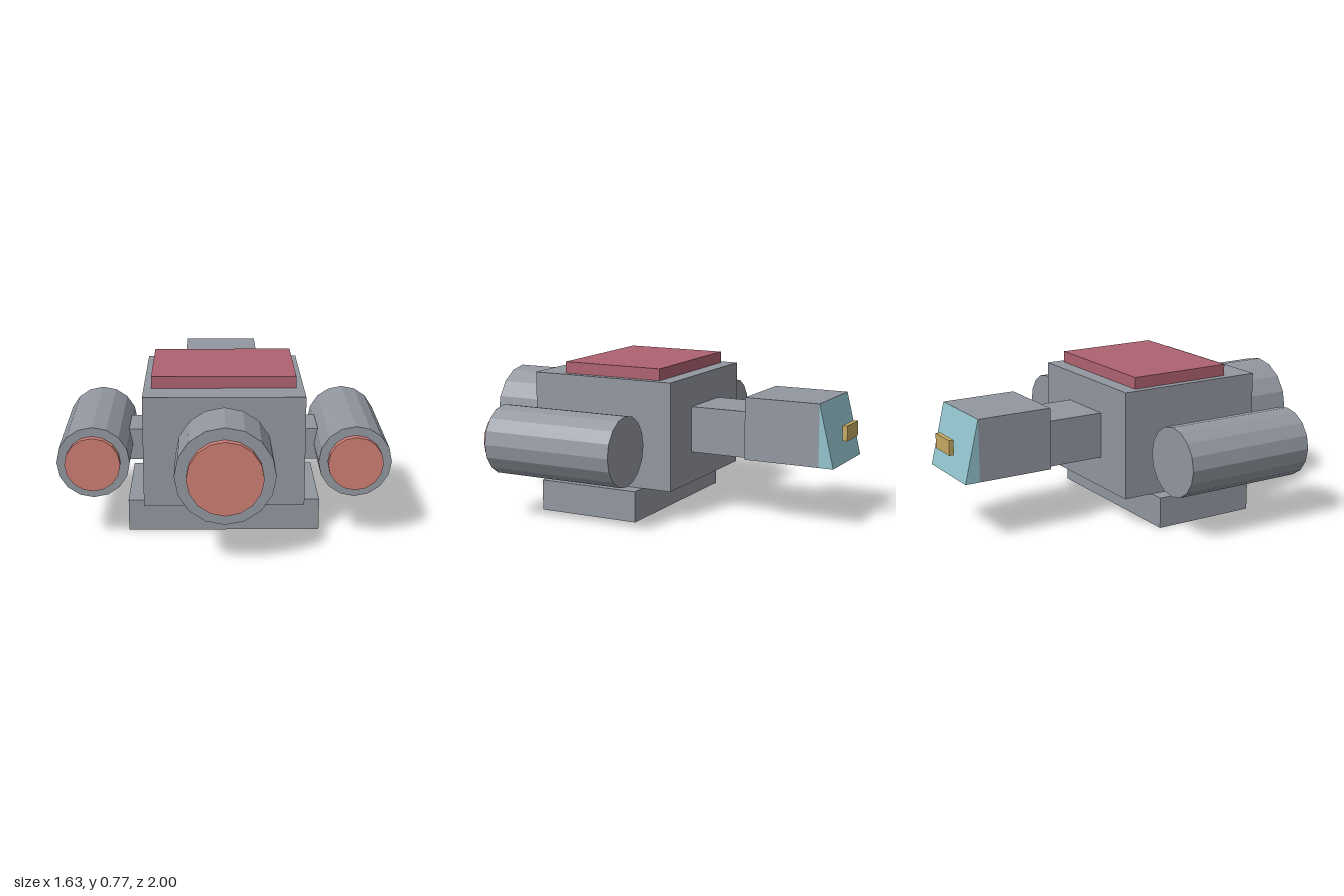
import * as THREE from 'three';

const flat = (name, color) => {
  const m = new THREE.MeshStandardMaterial({ color });
  m.name = name;
  return m;
};

export function createModel() {
  const model = new THREE.Group();
  model.name = 'spacecraft';

  const hull = flat('hullGray', 0x9297a0);
  const roof = flat('roofRed', 0xae6270);
  const glow = flat('engineCoral', 0xce7e74);
  const glass = flat('windowTeal', 0x92c3cd);
  const gold = flat('lampGold', 0xc6aa62);

  const add = (name, geometry, material, parent = model) => {
    const mesh = new THREE.Mesh(geometry, material);
    mesh.name = name;
    parent.add(mesh);
    return mesh;
  };

  // Box given by its extents on each axis
  const box = (name, material, [x0, x1], [y0, y1], [z0, z1]) => {
    const g = new THREE.BoxGeometry(x1 - x0, y1 - y0, z1 - z0);
    g.translate((x0 + x1) / 2, (y0 + y1) / 2, (z0 + z1) / 2);
    return add(name, g, material);
  };

  // Faceted drum lying along z
  const drum = (name, material, r, x, y, z0, z1, parent) => {
    const g = new THREE.CylinderGeometry(r, r, z1 - z0, 16).toNonIndexed();
    g.computeVertexNormals();
    g.rotateX(Math.PI / 2);
    g.translate(x, y, (z0 + z1) / 2);
    return add(name, g, material, parent);
  };

  // Engine: casing with a narrower glowing nozzle at the front
  const engine = (name, x, y, r, nozzleR, z0, z1, tip) => {
    const g = new THREE.Group();
    g.name = name;
    drum('casing', hull, r, x, y, z0, z1, g);
    drum('nozzle', glow, nozzleR, x, y, z1 - 0.02, tip, g);
    model.add(g);
  };

  // Main body, base and roof panel
  box('body', hull, [-0.395, 0.395], [0.16, 0.715], [-0.185, 0.607]);
  box('base', hull, [-0.475, 0.475], [0, 0.16], [-0.025, 0.527]);
  box('roofPanel', roof, [-0.357, 0.357], [0.715, 0.775], [-0.105, 0.447]);

  // Engines and their side pylons
  engine('mainEngine', 0, 0.44, 0.237, 0.18, 0.647, 0.963, 1);
  for (const s of [-1, 1]) {
    const side = s > 0 ? 'left' : 'right';
    engine(side + 'Engine', s * 0.635, 0.4, 0.178, 0.134, -0.066, 0.646, 0.682);
    box(side + 'Pylon', hull, s > 0 ? [0.38, 0.475] : [-0.475, -0.38],
      [0.32, 0.48], [0.13, 0.367]);
  }

  // Neck and cabin
  box('neck', hull, [-0.158, 0.158], [0.32, 0.558], [-0.502, -0.18]);
  box('cabin', hull, [-0.198, 0.198], [0.32, 0.638], [-0.898, -0.502]);

  // Sloped window: a triangular wedge extruded across x
  const profile = new THREE.Shape([
    new THREE.Vector2(0.898, 0.32),
    new THREE.Vector2(0.975, 0.32),
    new THREE.Vector2(0.898, 0.638),
  ]);
  const wedge = new THREE.ExtrudeGeometry(profile, { depth: 0.396, bevelEnabled: false });
  wedge.translate(0, 0, -0.198);
  wedge.rotateY(Math.PI / 2);
  add('window', wedge, glass);

  // Lamp in front of the window
  box('lamp', gold, [-0.078, 0.078], [0.44, 0.517], [-1, -0.975]);

  return model;
}
